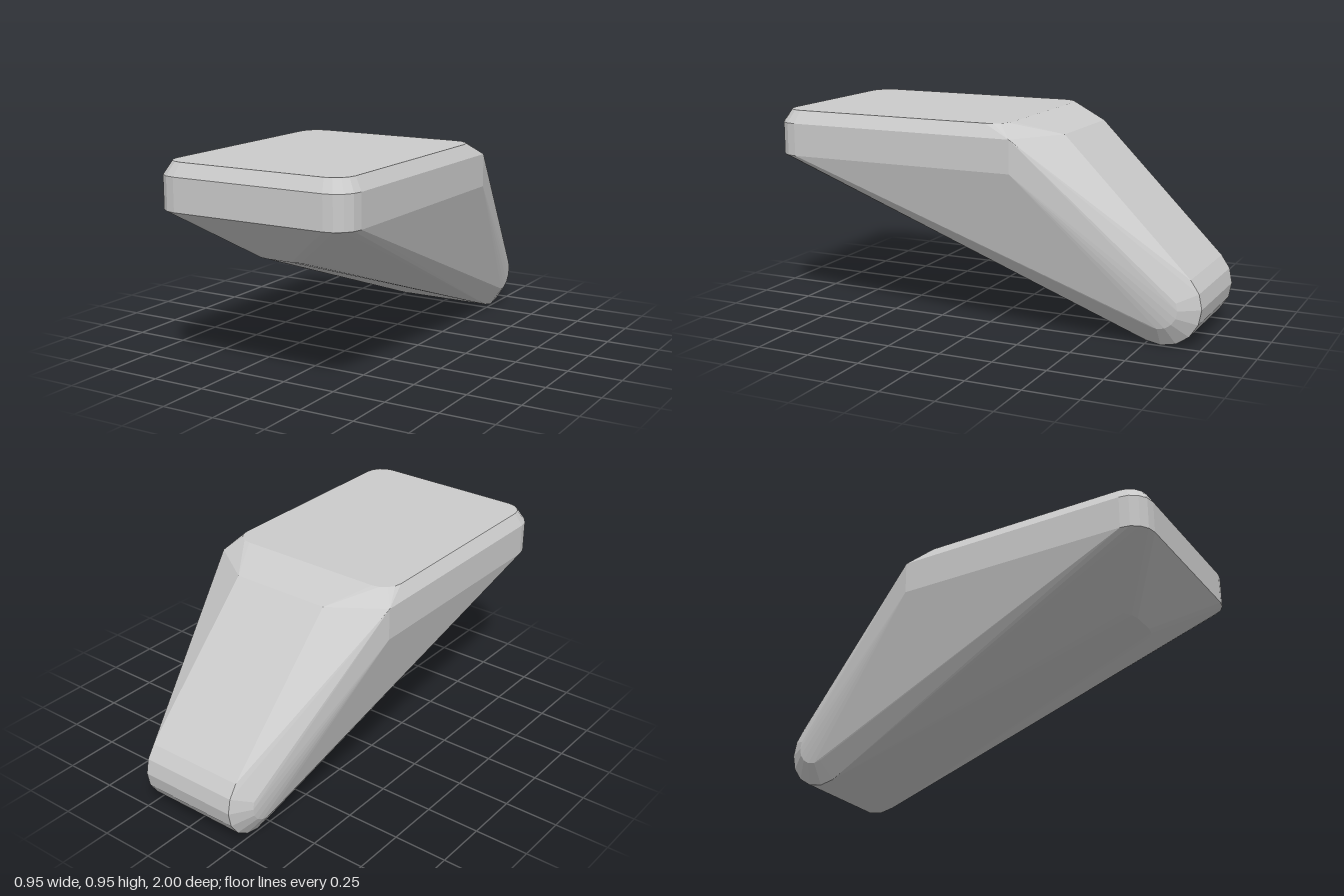
import * as THREE from 'three';
import { ConvexGeometry } from 'three/addons/geometries/ConvexGeometry.js';

const V = (x, y, z) => new THREE.Vector3(x, y, z);

// Mirrored points in x
const pair = (x, y, z) => [V(x, y, z), V(-x, y, z)];

// Rounded corner pair at height y; dir = 1 is the front corner, -1 the back
function roundedCorners(halfWidth, y, zEdge, radius, dir, steps = 4) {
  const points = [];
  for (let i = 0; i <= steps; i++) {
    const a = (i / steps) * Math.PI / 2;
    points.push(...pair(
      halfWidth - radius + radius * Math.cos(a),
      y,
      zEdge + dir * radius * (Math.sin(a) - 1)));
  }
  return points;
}

// Circle pair across the rear end, lying in planes of constant x
function endCircles(x, radius, steps = 16) {
  const points = [];
  for (let i = 0; i < steps; i++) {
    const a = (i / steps) * Math.PI * 2;
    points.push(...pair(x, 0.18 + radius * Math.sin(a), -0.82 + radius * Math.cos(a)));
  }
  return points;
}

export function createModel() {
  const group = new THREE.Group();
  group.name = 'wedgeBlock';

  const points = [
    // Flat top with rounded corners
    ...roundedCorners(0.44, 0.955, 0.965, 0.09, 1),
    ...roundedCorners(0.44, 0.955, -0.16, 0.09, -1),
    // Upright band below the top bevel
    ...roundedCorners(0.475, 0.897, 1, 0.11, 1),
    ...roundedCorners(0.475, 0.747, 1, 0.11, 1),
    ...pair(0.475, 0.897, -0.2),
    ...pair(0.475, 0.747, -0.2),
    // Rear shoulder where the back slope begins
    ...pair(0.24, 0.897, -0.36),
    // Underside front edge
    ...roundedCorners(0.17, 0.538, 0.765, 0.11, 1),
    // Rounded rear foot with bevelled ends
    ...endCircles(0.24, 0.18),
    ...endCircles(0.3, 0.09),
  ];

  const body = new THREE.Mesh(
    new ConvexGeometry(points),
    new THREE.MeshStandardMaterial({ color: 0xcccccc, flatShading: true }));
  body.name = 'body';
  group.add(body);
  return group;
}
